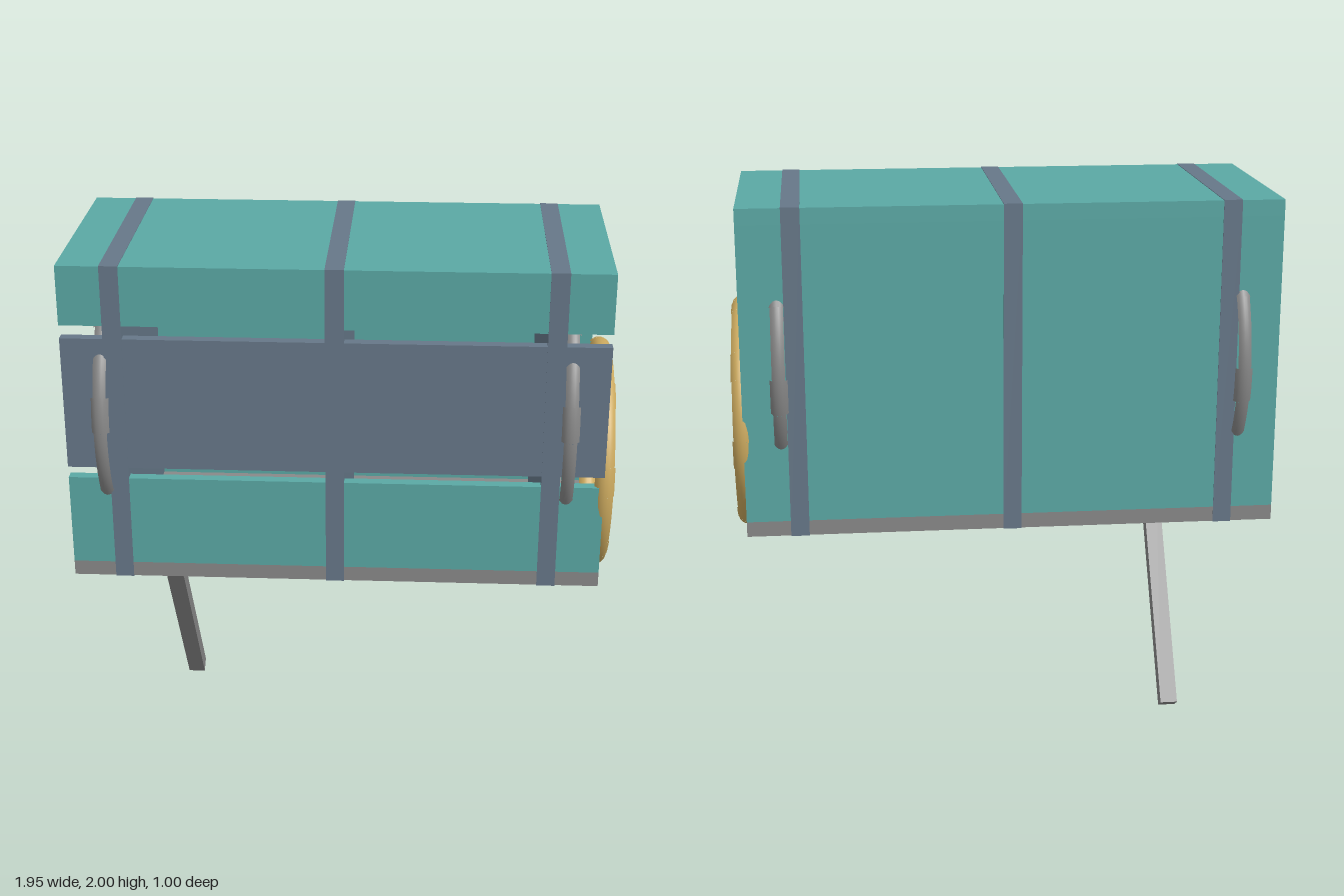
import * as THREE from 'three';
import { mergeGeometries } from 'three/addons/utils/BufferGeometryUtils.js';

const material = (name, color) => {
  const m = new THREE.MeshStandardMaterial({ color });
  m.name = name;
  return m;
};

export function createModel() {
  const teal = material('teal', 0x5aa8a4);
  const slate = material('slate', 0x667788);
  const grey = material('grey', 0x888888);
  const gold = material('gold', 0xccaa5f);
  const model = new THREE.Group();

  const add = (name, geometry, mat) => {
    const mesh = new THREE.Mesh(geometry, mat);
    mesh.name = name;
    model.add(mesh);
    return mesh;
  };

  // Box given by its low and high limits on each axis
  const box = (name, mat, [x0, x1], [y0, y1], [z0, z1]) =>
    add(name, new THREE.BoxGeometry(x1 - x0, y1 - y0, z1 - z0), mat)
      .position.set((x0 + x1) / 2, (y0 + y1) / 2, (z0 + z1) / 2);

  // Case open at both ends, with slots above and below the front panel
  const length = [-0.98, 0.935];
  const front = [0.38, 0.42];
  box('floor', grey, length, [0.815, 0.87], [-0.42, 0.42]);
  box('roof', teal, length, [1.943, 2], [-0.42, 0.42]);
  box('backWall', teal, length, [0.87, 1.943], [-0.42, -0.38]);
  box('frontLowerPlank', teal, length, [0.87, 1.207], front);
  box('frontUpperPlank', teal, length, [1.785, 1.943], front);
  box('frontPanel', slate, length, [1.248, 1.737], front);

  // Bulkheads whose edges show as bands around the case
  for (const x of [-0.795, -0.022, 0.745]) {
    box('bulkhead', slate, [x - 0.033, x + 0.033], [0.813, 2.002], [-0.422, 0.422]);
  }

  // Hoop open along both flat sides: an outer and an inner curved band, with uneven edges
  const hoop = (name, mat, R, r, narrow, wide, x, y) => {
    const parts = [];
    const count = 24;
    for (let i = 0; i < count; i++) {
      const span = i % 3 === 0 ? wide : narrow;
      for (const middle of [0, Math.PI]) {
        const profile = [];
        for (let k = 0; k <= 6; k++) {
          const a = middle + span * (k / 3 - 1);
          profile.push(new THREE.Vector2(R + r * Math.cos(a), r * Math.sin(a)));
        }
        parts.push(new THREE.LatheGeometry(profile, 3, (i / count) * Math.PI * 2, (Math.PI * 2) / count));
      }
    }
    const mesh = add(name, mergeGeometries(parts), mat);
    mesh.rotation.z = Math.PI / 2;
    mesh.position.set(x, y, 0);
  };
  for (const x of [-0.842, 0.802]) hoop('greyHoop', grey, 0.466, 0.034, 0.75, 1.15, x, 1.41);
  hoop('goldHoop', gold, 0.39, 0.038, 1.0, 1.2, 0.938, 1.17);

  // Single slanted leg, its top sunk into the floor
  const leg = add('leg', new THREE.BoxGeometry(0.064, 0.99, 0.057), grey);
  leg.rotation.x = 0.595;
  leg.position.set(-0.643, 0.432, -0.01);

  return model;
}
